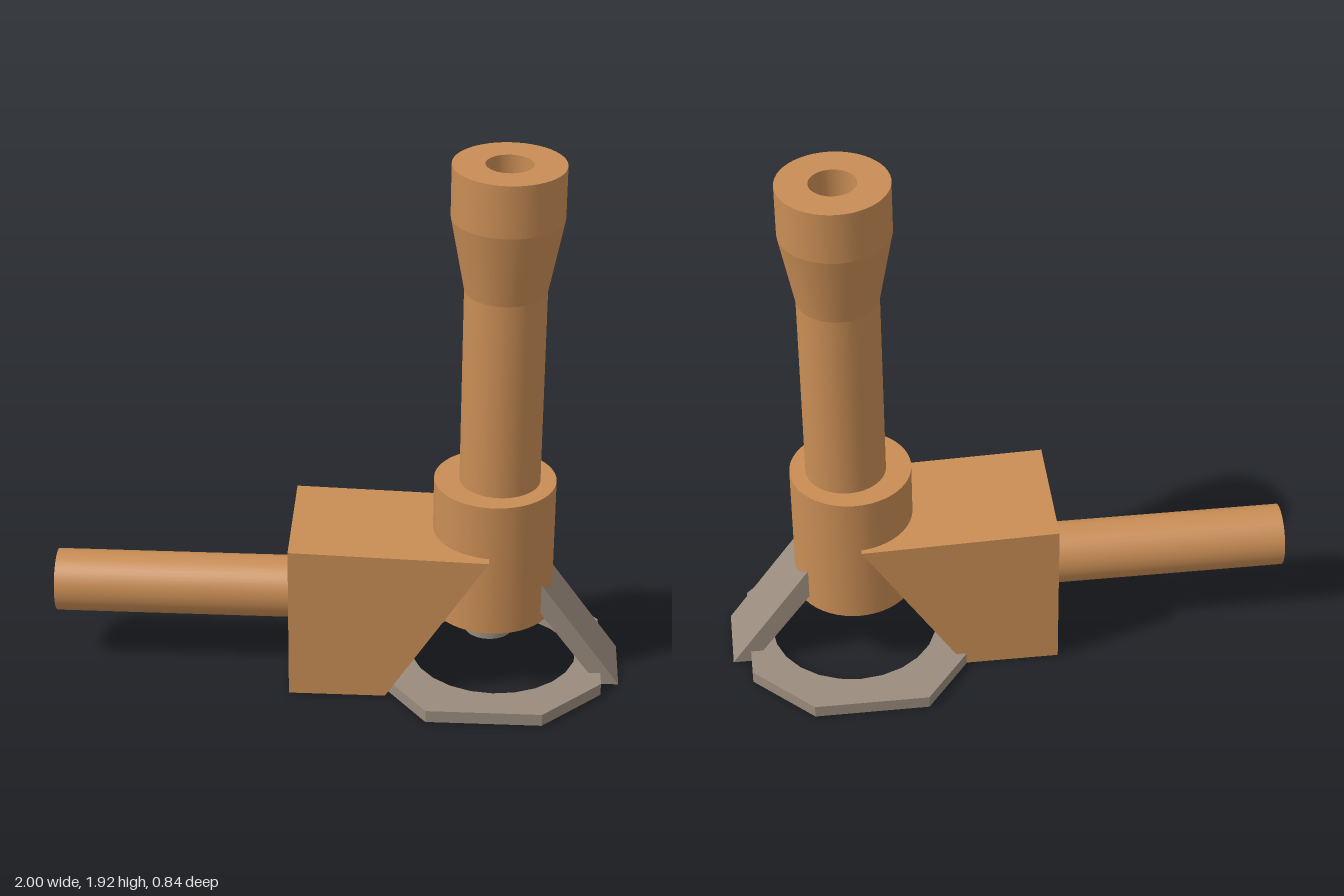
import * as THREE from 'three';

const copper = new THREE.MeshStandardMaterial({ color: 0xc98d55 });
const steel = new THREE.MeshStandardMaterial({ color: 0x9a8b7d });
const grey = new THREE.MeshStandardMaterial({ color: 0xcccccc });
const dark = new THREE.MeshStandardMaterial({ color: 0x555555 });

export function createModel() {
  const group = new THREE.Group();
  const add = (name, geometry, material, x = 0, y = 0, z = 0) => {
    const mesh = new THREE.Mesh(geometry, material);
    mesh.name = name;
    mesh.position.set(x, y, z);
    group.add(mesh);
    return mesh;
  };
  const shapeOf = (points) => new THREE.Shape(points.map(([x, y]) => new THREE.Vector2(x, y)));
  // Side profile in x and y, extruded from z0 to z1
  const slab = (points, z0, z1) =>
    new THREE.ExtrudeGeometry(shapeOf(points), { depth: z1 - z0, bevelEnabled: false }).translate(0, 0, z0);
  // Straight-sided turned part with sharp rims: one lathe band per profile segment
  const turned = (name, profile, material, x, y, z) => {
    const part = new THREE.Group();
    part.name = name;
    part.position.set(x, y, z);
    for (let i = 0; i < profile.length - 1; i++) {
      const band = [profile[i], profile[i + 1]].map(([r, h]) => new THREE.Vector2(r, h));
      part.add(new THREE.Mesh(new THREE.LatheGeometry(band, 48), material));
    }
    group.add(part);
    return part;
  };

  // Hollow upright barrel with flared mouth
  turned('barrel', [[0.14, 0.74], [0.14, 1.47], [0.19, 1.735], [0.19, 1.92], [0.08, 1.92], [0.08, 0.26]],
    copper, 0.56, 0, 0.02);

  // Collar around the foot of the barrel, open for the bore
  turned('collar', [[0.08, 0.25], [0.212, 0.25], [0.212, 0.75], [0.08, 0.75]], copper, 0.544, 0, 0.02);

  // Nozzle below the collar, with the floor of the bore above it
  add('nozzle', new THREE.CylinderGeometry(0.086, 0.086, 0.11, 40), steel, 0.536, 0.2, 0.015);
  add('boreFloor', new THREE.CylinderGeometry(0.095, 0.095, 0.02, 40), grey, 0.555, 0.262, 0.015);

  // Wedge-shaped mounting block
  add('block', slab([[-0.16, 0], [0.178, 0], [0.53, 0.55], [-0.16, 0.57]], -0.21, 0.265), copper);

  // Hollow handle pipe
  turned('handle', [[0.11, 0], [0.11, 0.85], [0.065, 0.85], [0.065, 0.05]], copper, -0.15, 0.29, 0.02)
    .rotation.z = Math.PI / 2;
  add('handlePlug', new THREE.CylinderGeometry(0.066, 0.066, 0.02, 32), dark, -0.7, 0.29, 0.02)
    .rotation.z = Math.PI / 2;

  // Octagonal base ring, drawn in plan and laid flat
  const plan = shapeOf([[0.17, -0.212], [0.325, -0.42], [0.727, -0.42], [0.935, -0.215],
    [0.935, 0.215], [0.727, 0.42], [0.325, 0.42], [0.17, 0.212]]);
  const hole = new THREE.Path();
  hole.absarc(0.555, 0, 0.296, 0, Math.PI * 2, true);
  plan.holes.push(hole);
  const ring = new THREE.ExtrudeGeometry(plan, { depth: 0.045, bevelEnabled: false, curveSegments: 12 });
  add('baseRing', ring.rotateX(-Math.PI / 2), steel);

  // Sloping braces from the ring to the collar
  add('outerBrace', slab([[0.925, 0], [1, 0], [0.715, 0.4], [0.715, 0.285]], -0.105, 0.145), steel);
  add('innerBrace', slab([[0.178, 0], [0.215, 0], [0.4, 0.28], [0.4, 0.347]], -0.105, 0.145), copper);

  return group;
}
